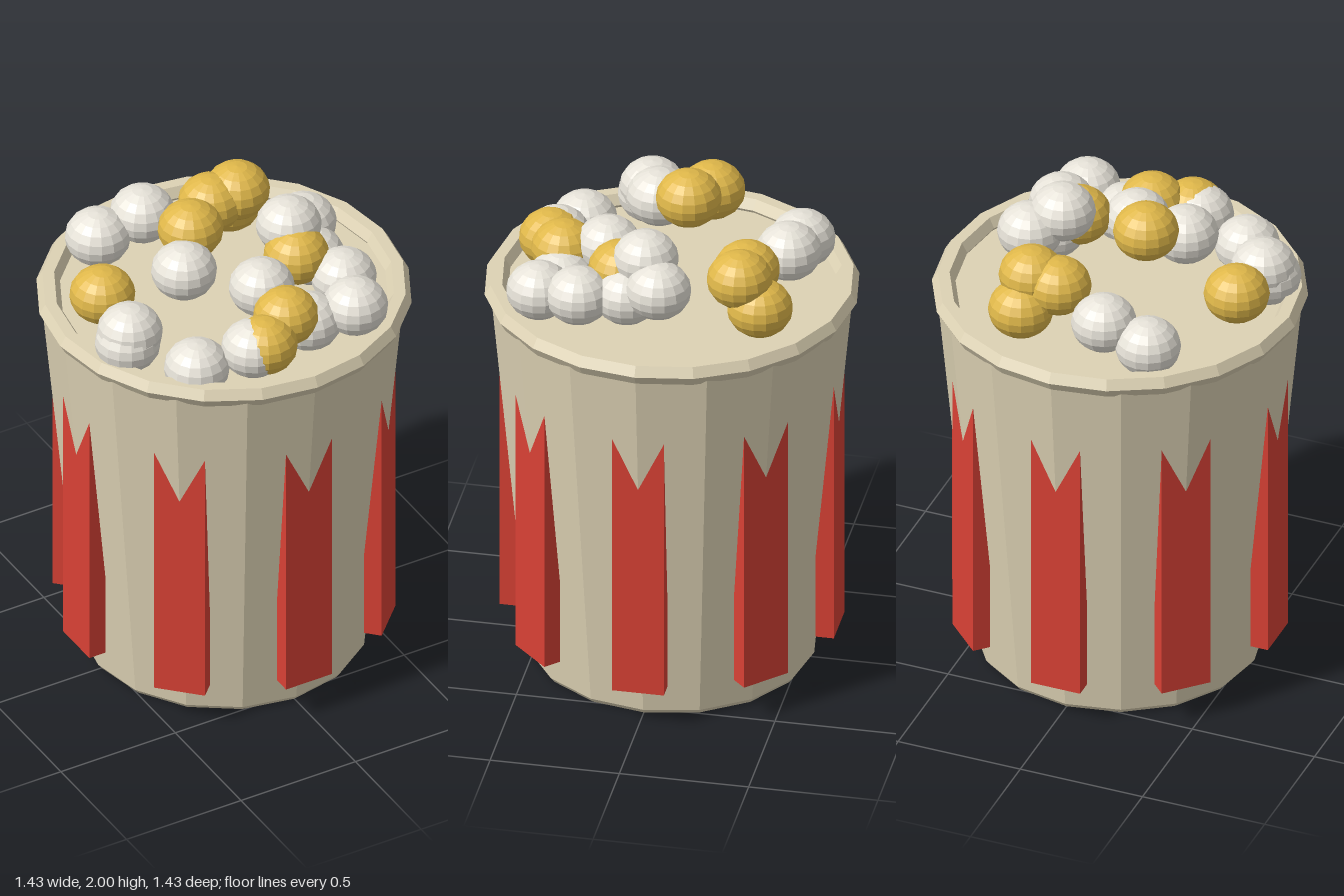
import * as THREE from 'three';

const material = (color) => new THREE.MeshStandardMaterial({ color, flatShading: true });

export function createModel() {
  const model = new THREE.Group();
  const beige = material(0xddd2b4);
  const red = material(0xd94135);
  const gold = material(0xe0b84a);
  const cream = material(0xe6e2d8);

  const add = (name, geometry, mat, parent = model) => {
    const mesh = new THREE.Mesh(geometry, mat);
    mesh.name = name;
    parent.add(mesh);
    return mesh;
  };

  // Tapered tub with a small chamfer at the foot, closed just below the rim
  const profile = [[0, 0], [0.535, 0], [0.55, 0.02], [0.695, 1.565], [0, 1.565]]
    .map(([r, y]) => new THREE.Vector2(r, y));
  add('tub', new THREE.LatheGeometry(profile, 16), beige);

  // Rolled rim
  const rim = add('rim', new THREE.TorusGeometry(0.67, 0.045, 6, 20), beige);
  rim.rotation.x = -Math.PI / 2;
  rim.position.y = 1.577;

  // Upright stripes that sink into the flaring wall at their upper ends
  const stripes = new THREE.Group();
  stripes.name = 'stripes';
  model.add(stripes);
  const stripeGeometry = new THREE.BoxGeometry(0.2, 1.2, 0.07).translate(0, 0.75, 0.611);
  for (let i = 0; i < 8; i++) {
    add('stripe', stripeGeometry, red, stripes).rotation.y = (i * Math.PI) / 4;
  }

  // Heap of slightly flattened pieces: x, y, z
  const goldPieces = [
    [-0.123, 1.89, -0.04], [-0.5, 1.71, -0.055], [0.246, 1.66, -0.39],
    [0.123, 1.75, -0.315], [0.235, 1.77, -0.31], [0.23, 1.76, 0.15],
    [0.035, 1.71, 0.41], [-0.1, 1.67, 0.485],
  ];
  const creamPieces = [
    [-0.296, 1.66, -0.445], [-0.11, 1.71, -0.43], [-0.23, 1.82, 0.096],
    [-0.515, 1.69, 0.18], [-0.53, 1.65, 0.19], [-0.354, 1.61, 0.41],
    [-0.14, 1.66, 0.47], [0.14, 1.64, 0.4], [0.027, 1.74, 0.24],
    [0.36, 1.76, -0.02], [0.254, 1.83, 0.05], [0.32, 1.7, 0.11],
    [0.357, 1.7, 0.29], [0.315, 1.68, 0.45],
  ];
  const pieces = new THREE.Group();
  pieces.name = 'pieces';
  model.add(pieces);
  const pieceGeometry = new THREE.SphereGeometry(0.126, 16, 10).scale(1, 0.88, 1);
  for (const p of goldPieces) add('goldPiece', pieceGeometry, gold, pieces).position.set(...p);
  for (const p of creamPieces) add('creamPiece', pieceGeometry, cream, pieces).position.set(...p);

  return model;
}
